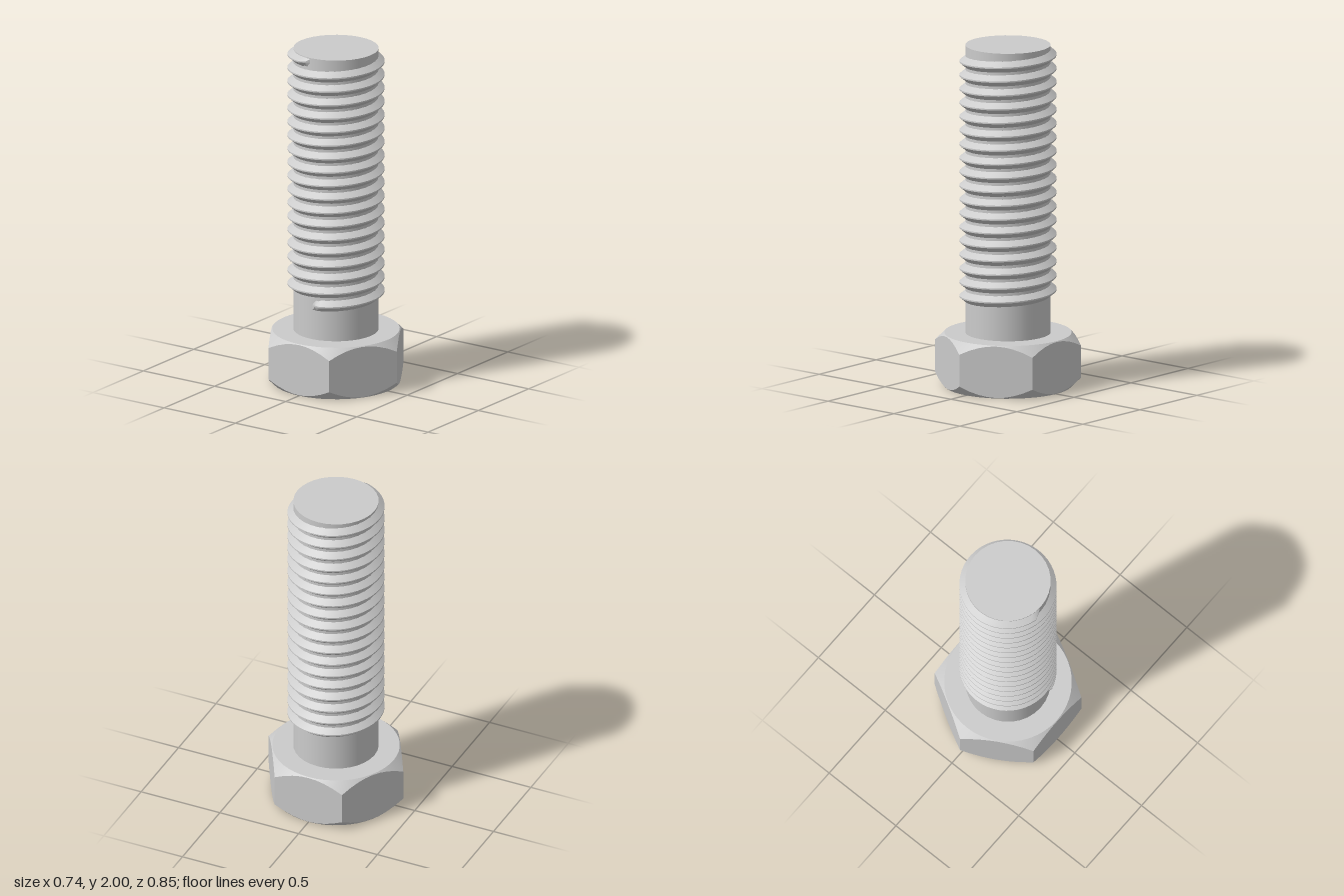
import * as THREE from 'three';
import { toCreasedNormals } from 'three/addons/utils/BufferGeometryUtils.js';

const SHAFT_R = 0.245, CREST_R = 0.279, TOP = 2;
const HEAD_H = 0.31, APOTHEM = 0.37, FACE_R = 0.366;

// Surface through rows x cols points; columns run counterclockwise seen from above, rows upward.
function gridSurface(rows, cols, pointAt, crease) {
  const pos = [], index = [];
  for (let j = 0; j < rows; j++)
    for (let i = 0; i < cols; i++) {
      const [angle, r, y] = pointAt(j, i);
      pos.push(r * Math.sin(angle), y, r * Math.cos(angle));
    }
  for (let j = 0; j < rows - 1; j++)
    for (let i = 0; i < cols - 1; i++) {
      const a = j * cols + i, b = a + 1, c = b + cols, d = a + cols;
      index.push(a, b, c, a, c, d);
    }
  const geo = new THREE.BufferGeometry();
  geo.setAttribute('position', new THREE.Float32BufferAttribute(pos, 3));
  geo.setIndex(index);
  return toCreasedNormals(geo, crease);
}

// Hexagonal head with conical chamfers above and below, corners on +z and -z
function headGeometry() {
  const perSide = 8, cols = perSide * 6 + 1, side = Math.PI / 3;
  return gridSurface(6, cols, (j, i) => {
    const angle = (i / perSide) * side;
    const hexR = APOTHEM / Math.cos((i % perSide) / perSide * side - side / 2);
    const drop = (hexR - FACE_R) * 1.0;
    const r = [0, FACE_R, hexR, hexR, FACE_R, 0][j];
    const y = [0, 0, drop, HEAD_H - drop, HEAD_H, HEAD_H][j];
    return [angle, r, y];
  }, 0.4);
}

// Right-handed helical ridge that fades into the shaft at both ends
function threadGeometry() {
  const turns = 18, perTurn = 48, steps = turns * perTurn;
  const y0 = 0.515, y1 = 1.975, rootR = SHAFT_R - 0.005;
  const offsets = [-0.036, -0.004, 0.004, 0.036];
  return gridSurface(4, steps + 1, (j, i) => {
    const t = i / steps;
    const fade = Math.min(1, i / 2, (steps - i) / 2);
    const isCrest = j === 1 || j === 2;
    const r = isCrest ? rootR + (CREST_R - rootR) * fade : rootR;
    const y = Math.min(TOP - 0.002, y0 + (y1 - y0) * t + offsets[j]);
    return [-Math.PI / 2 + t * turns * Math.PI * 2, r, y];
  }, 0.6);
}

export function createModel() {
  const group = new THREE.Group();
  group.name = 'hexBolt';
  const material = new THREE.MeshStandardMaterial({ color: 0xcccccc });
  const add = (name, geometry, y = 0) => {
    const mesh = new THREE.Mesh(geometry, material);
    mesh.name = name;
    mesh.position.y = y;
    group.add(mesh);
  };

  add('head', headGeometry());

  // Plain cylindrical core running from inside the head to the tip
  const base = HEAD_H - 0.02;
  add('shaft', new THREE.CylinderGeometry(SHAFT_R, SHAFT_R, TOP - base, 32), (TOP + base) / 2);

  add('thread', threadGeometry());
  return group;
}
